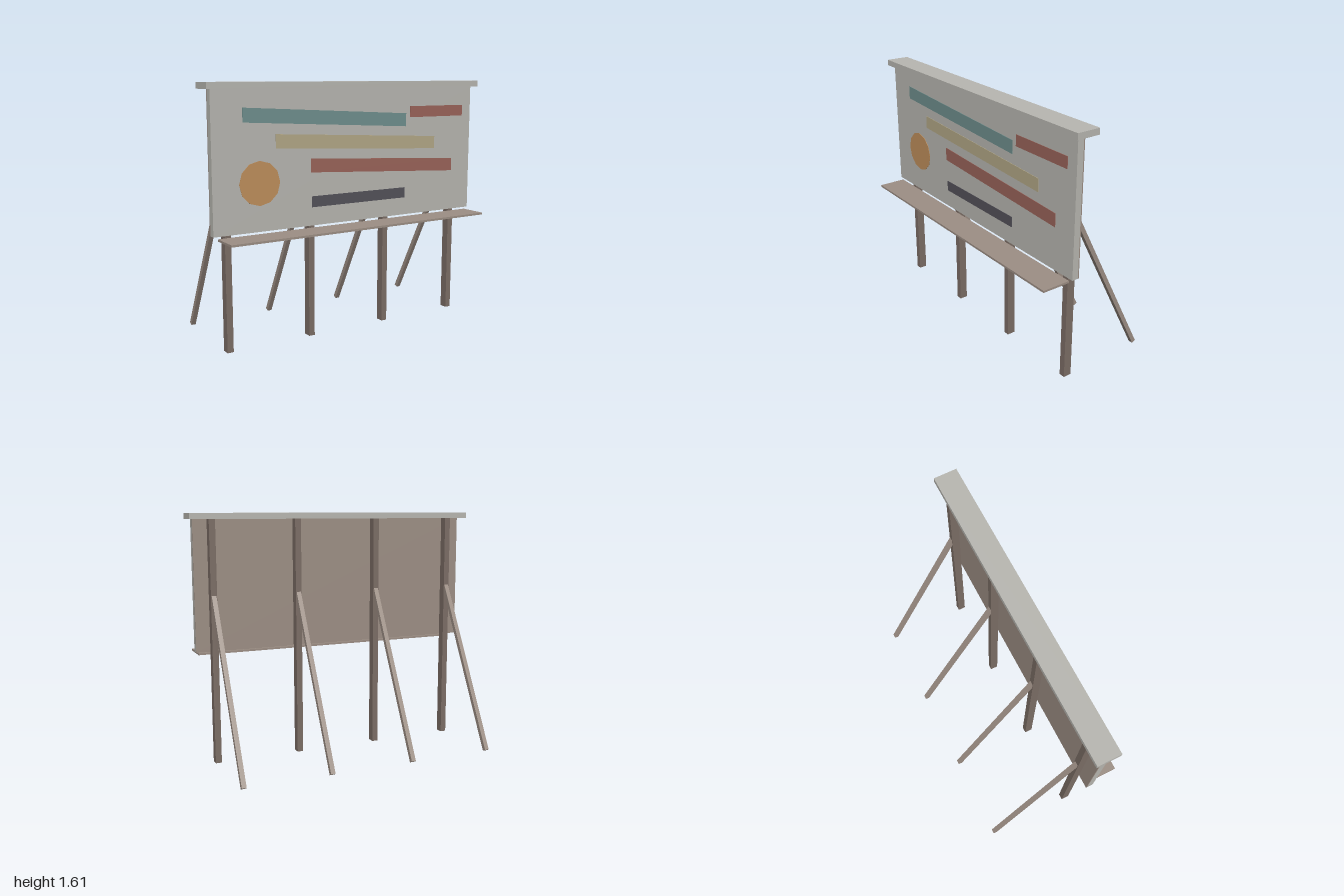
import * as THREE from 'three';

export function createModel() {
  const group = new THREE.Group();
  const mat = (name, color) => {
    const m = new THREE.MeshStandardMaterial({ color });
    m.name = name;
    return m;
  };
  const grey = mat('weathered grey', 0xb8b7b1);
  const darkWood = mat('dark wood', 0x7c6e66);
  const lightWood = mat('light wood', 0x9d8f85);
  const teal = mat('faded teal', 0x6f8f8e);
  const yellow = mat('faded yellow', 0xb3a887);
  const red = mat('faded red', 0x9a645a);
  const orange = mat('faded orange', 0xbf8f5c);
  const charcoal = mat('charcoal', 0x54525a);

  const add = (name, geometry, material) => {
    const mesh = new THREE.Mesh(geometry, material);
    mesh.name = name;
    group.add(mesh);
    return mesh;
  };
  // box given by its extents on each axis
  const box = (name, material, [x0, x1], [y0, y1], [z0, z1]) => {
    const mesh = add(name, new THREE.BoxGeometry(x1 - x0, y1 - y0, z1 - z0), material);
    mesh.position.set((x0 + x1) / 2, (y0 + y1) / 2, (z0 + z1) / 2);
    return mesh;
  };

  // board, its wooden backing, top cap and walkway
  box('panel', grey, [-0.967, 0.967], [0.73, 1.572], [0.197, 0.238]);
  box('panelBacking', lightWood, [-0.967, 0.967], [0.73, 1.572], [0.19, 0.197]);
  box('topCap', grey, [-1, 1], [1.572, 1.61], [0.12, 0.272]);
  box('walkway', lightWood, [-0.94, 0.94], [0.704, 0.717], [0.238, 0.422]);

  // posts with sloping braces behind
  const foot = new THREE.Vector2(-0.409, 0.014);
  const head = new THREE.Vector2(0.15, 1.09);
  const run = head.clone().sub(foot);
  for (let i = 0; i < 4; i++) {
    const x = -0.855 + i * 0.57;
    box('post', darkWood, [x - 0.02, x + 0.02], [0, 1.572], [0.137, 0.19]);
    const brace = add('brace', new THREE.BoxGeometry(0.03, run.length(), 0.028), lightWood);
    brace.position.set(x, (foot.y + head.y) / 2, (foot.x + head.x) / 2);
    brace.rotation.x = Math.atan2(run.x, run.y);
  }

  // painted stripes: x from/to, then bottom and top heights at each end
  const stripe = (name, material, x0, x1, left, right) => {
    const shape = new THREE.Shape([
      new THREE.Vector2(x0, left[0]), new THREE.Vector2(x1, right[0]),
      new THREE.Vector2(x1, right[1]), new THREE.Vector2(x0, left[1]),
    ]);
    const geometry = new THREE.ExtrudeGeometry(shape, { depth: 0.003, bevelEnabled: false });
    add(name, geometry, material).position.z = 0.238;
  };
  stripe('tealStripe', teal, -0.77, 0.41, [1.38, 1.465], [1.317, 1.402]);
  stripe('shortRedStripe', red, 0.443, 0.893, [1.375, 1.447], [1.375, 1.447]);
  stripe('yellowStripe', yellow, -0.556, 0.652, [1.222, 1.305], [1.16, 1.243]);
  stripe('longRedStripe', red, -0.316, 0.807, [1.062, 1.147], [1.0, 1.085]);
  stripe('charcoalStripe', charcoal, -0.31, 0.406, [0.845, 0.913], [0.845, 0.913]);

  // painted disc
  const disc = add('orangeDisc', new THREE.CylinderGeometry(0.134, 0.134, 0.003, 12), orange);
  disc.geometry.rotateX(Math.PI / 2);
  disc.position.set(-0.665, 1.02, 0.2395);

  return group;
}
